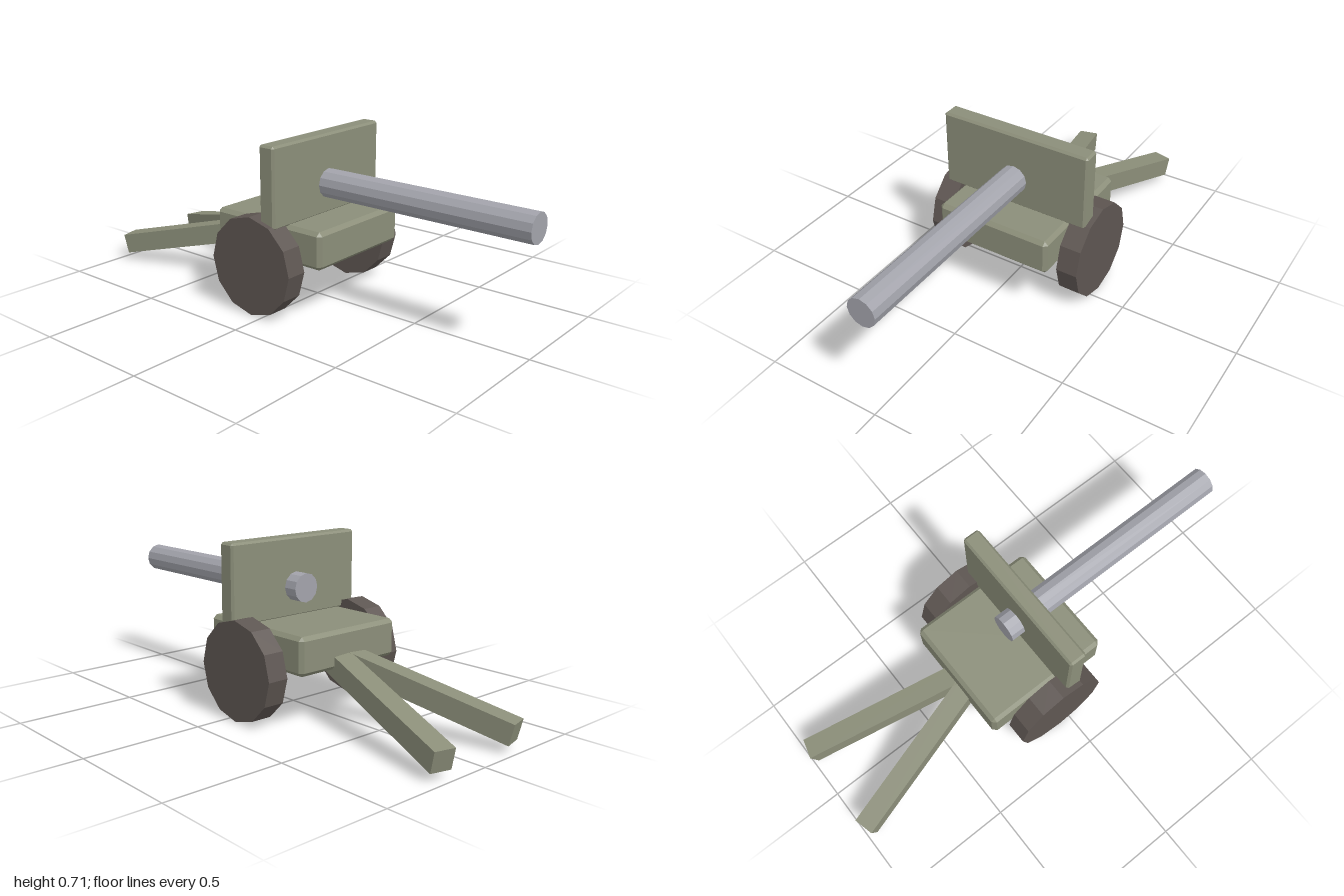
import * as THREE from 'three';
import { ConvexGeometry } from 'three/addons/geometries/ConvexGeometry.js';

const material = (name, color) => Object.assign(new THREE.MeshStandardMaterial({ color, flatShading: true }), { name });

// Box with every edge cut flat by c
function chamferBox(w, h, d, c) {
  const points = [];
  for (const x of [-w / 2, w / 2])
    for (const y of [-h / 2, h / 2])
      for (const z of [-d / 2, d / 2]) {
        const ix = x - Math.sign(x) * c, iy = y - Math.sign(y) * c, iz = z - Math.sign(z) * c;
        points.push(new THREE.Vector3(x, iy, iz), new THREE.Vector3(ix, y, iz), new THREE.Vector3(ix, iy, z));
      }
  return new ConvexGeometry(points);
}

export function createModel() {
  const model = new THREE.Group();
  model.name = 'fieldGun';
  const olive = material('olive paint', 0x8b8e79);
  const rubber = material('dark wheel', 0x5e5652);
  const steel = material('grey steel', 0xa2a3ab);

  const add = (name, geometry, mat, x, y, z) => {
    const mesh = new THREE.Mesh(geometry, mat);
    mesh.name = name;
    mesh.position.set(x, y, z);
    model.add(mesh);
    return mesh;
  };

  // Carriage and shield
  add('carriage', chamferBox(0.56, 0.156, 0.514, 0.016), olive, -0.055, 0.3, 0);
  add('shield', chamferBox(0.076, 0.334, 0.666, 0.009), olive, 0.02, 0.539, 0);

  // Barrel, passing through the shield
  add('barrel', new THREE.CylinderGeometry(0.061, 0.061, 1.08, 12).rotateZ(-Math.PI / 2), steel, 0.46, 0.5, 0);

  // Thin axle joining the wheels through the carriage
  add('axle', new THREE.BoxGeometry(0.02, 0.012, 0.54), rubber, -0.055, 0.248, 0);

  // Wheels and splayed trail legs, mirrored
  const yaw = THREE.MathUtils.degToRad(14.5), pitch = THREE.MathUtils.degToRad(13.5);
  const length = 0.85;
  for (const side of [1, -1]) {
    const label = side > 0 ? 'left' : 'right';
    const wheel = new THREE.CylinderGeometry(0.207, 0.207, 0.092, 12).rotateX(Math.PI / 2);
    add(label + 'Wheel', wheel, rubber, -0.055, 0.207, side * 0.309);

    const leg = new THREE.BoxGeometry(length, 0.087, 0.087).translate(length / 2, 0, 0);
    const trail = add(label + 'Trail', leg, olive, -0.979, 0.073, side * 0.206);
    trail.rotation.set(0, side * yaw, pitch, 'YZX');
  }
  return model;
}
